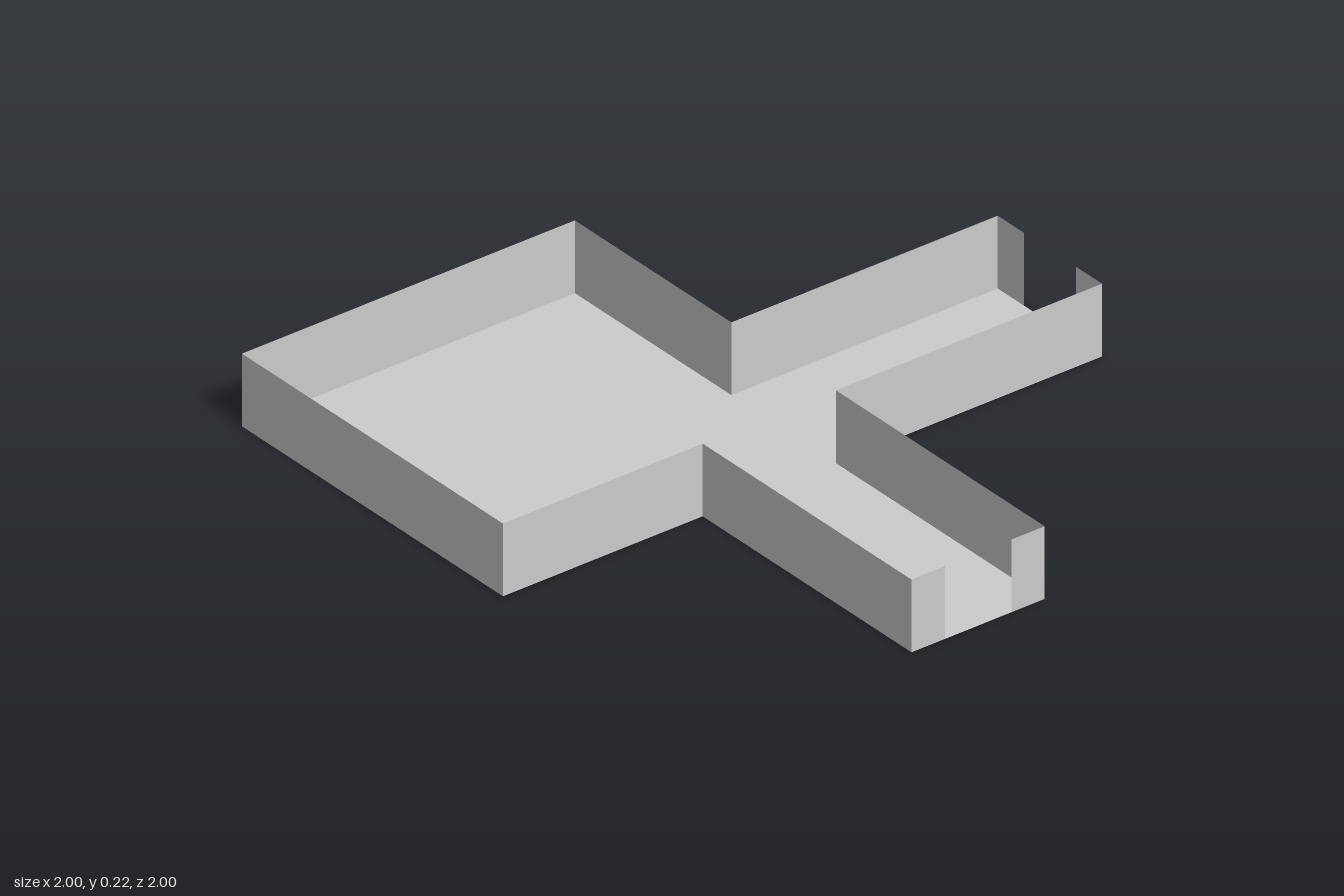
import * as THREE from 'three';

const U = 2 / 18; // plan grid unit
const HEIGHT = 2 * U;

// Wall runs as [x, z] in grid units; the gaps between them are the two doorways.
const outerRun = [[9, -2], [9, -3], [1, -3], [1, -9], [-9, -9], [-9, 1], [-3, 1], [-3, 9], [-2, 9]];
const innerRun = [[0, 9], [1, 9], [1, 1], [9, 1], [9, 0]];

export function createModel() {
  const model = new THREE.Group();
  model.name = 'roomWithCorridors';
  const grey = new THREE.MeshStandardMaterial({ color: 0xcccccc, side: THREE.DoubleSide });
  grey.name = 'lightGrey';

  // Floor follows the outline of both wall runs
  const outline = [...outerRun, ...innerRun].map(([x, z]) => new THREE.Vector2(x * U, -z * U));
  const floor = new THREE.Mesh(new THREE.ShapeGeometry(new THREE.Shape(outline)).rotateX(-Math.PI / 2), grey);
  floor.name = 'floor';
  model.add(floor);

  // One upright sheet per wall segment, including the short door jambs
  const addWalls = (run, name) => {
    const group = new THREE.Group();
    group.name = name;
    for (let i = 0; i < run.length - 1; i++) {
      const [x0, z0] = run[i];
      const [x1, z1] = run[i + 1];
      const length = Math.hypot(x1 - x0, z1 - z0) * U;
      const wall = new THREE.Mesh(new THREE.PlaneGeometry(length, HEIGHT), grey);
      wall.name = length < 1.5 * U ? 'doorJamb' : 'wall';
      wall.position.set((x0 + x1) * U / 2, HEIGHT / 2, (z0 + z1) * U / 2);
      wall.rotation.y = Math.atan2(z0 - z1, x1 - x0);
      group.add(wall);
    }
    model.add(group);
  };
  addWalls(outerRun, 'roomWalls');
  addWalls(innerRun, 'corridorCornerWalls');

  return model;
}
